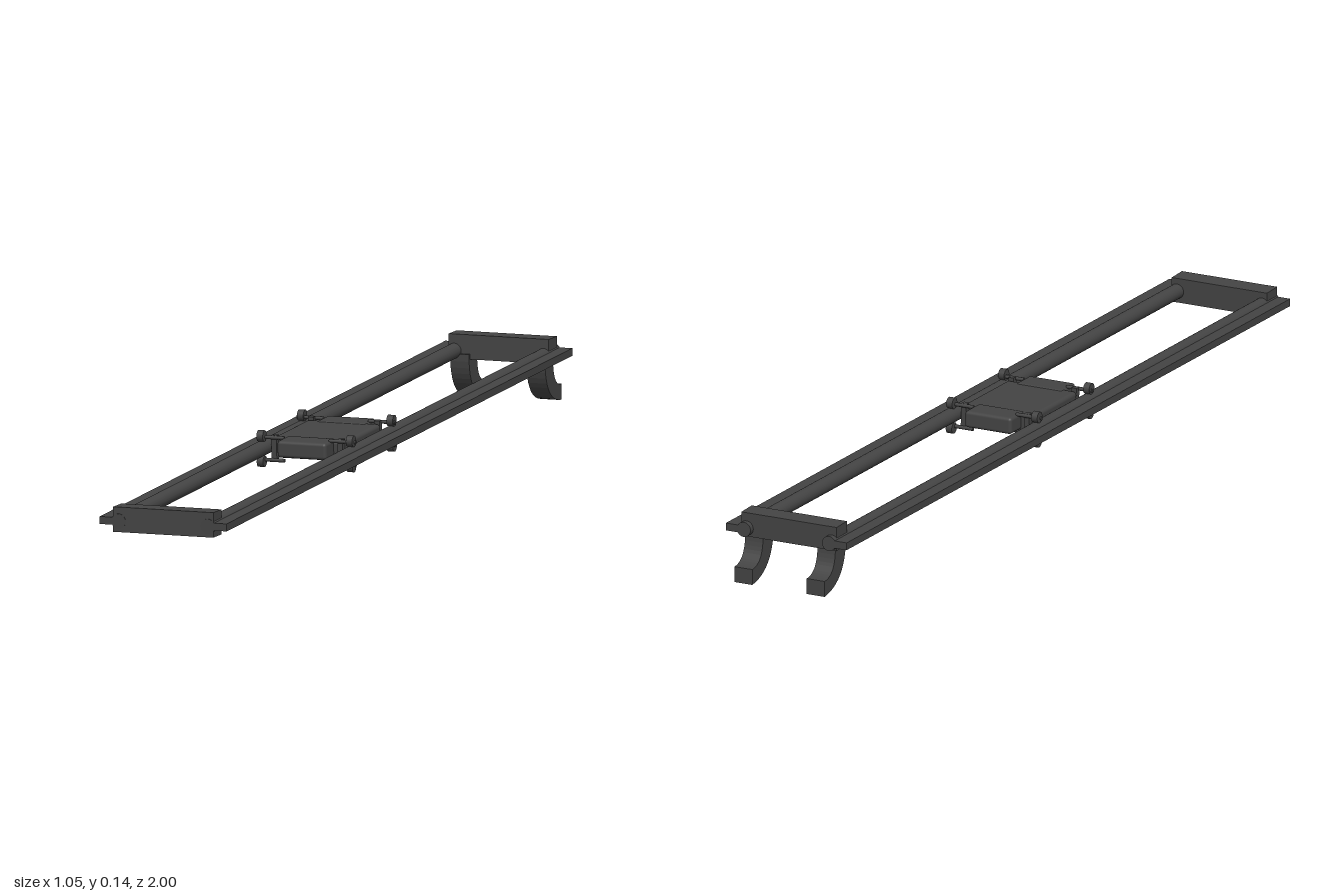
import * as THREE from 'three';
import { RoundedBoxGeometry } from 'three/addons/geometries/RoundedBoxGeometry.js';

const material = new THREE.MeshStandardMaterial({ color: 0x444444 });

function add(parent, name, geometry, x = 0, y = 0, z = 0) {
  const mesh = new THREE.Mesh(geometry, material);
  mesh.name = name;
  mesh.position.set(x, y, z);
  parent.add(mesh);
  return mesh;
}

// Round tube with a flat flange on the side given by s
function railGeometry(s, length) {
  const r = 0.016, t = 0.008, a = Math.asin(t / r);
  const shape = new THREE.Shape();
  shape.moveTo(0.042, -t);
  shape.lineTo(0.042, t);
  shape.lineTo(r * Math.cos(a), t);
  shape.absarc(0, 0, r, a, Math.PI * 2 - a, false);
  shape.closePath();
  const geo = new THREE.ExtrudeGeometry(shape, { depth: length, bevelEnabled: false, curveSegments: 16 });
  geo.translate(0, 0, -length / 2);
  if (s < 0) geo.rotateZ(Math.PI);
  return geo;
}

// Foot curving down and backwards, drawn sideways and extruded across its width
function footGeometry(width) {
  const shape = new THREE.Shape();
  shape.moveTo(-0.048, 0.1);
  shape.lineTo(0, 0.1);
  shape.bezierCurveTo(0, 0.05, 0.02, 0.034, 0.05, 0.034);
  shape.lineTo(0.05, 0);
  shape.bezierCurveTo(-0.01, 0.004, -0.046, 0.035, -0.048, 0.1);
  const geo = new THREE.ExtrudeGeometry(shape, { depth: width, bevelEnabled: false, curveSegments: 12 });
  geo.translate(0, 0, -width / 2);
  geo.rotateY(Math.PI / 2);
  return geo;
}

export function createModel() {
  const model = new THREE.Group();
  model.name = 'sliderRail';
  const body = new THREE.Group();
  body.name = 'slider';
  body.rotation.y = -0.397;
  model.add(body);

  // Sloping frame holding the rails and carriage
  const frame = new THREE.Group();
  frame.name = 'slopingFrame';
  frame.position.y = 0.071;
  frame.rotation.x = 0.036;
  body.add(frame);
  for (const s of [-1, 1]) {
    add(frame, s > 0 ? 'leftRail' : 'rightRail', railGeometry(s, 2.03), s * 0.1, 0, 0);
  }

  // Cross bars at both ends and the feet under the back one
  add(body, 'frontCrossBar', new THREE.BoxGeometry(0.224, 0.053, 0.047), 0, 0.038, 0.99);
  add(body, 'backCrossBar', new THREE.BoxGeometry(0.224, 0.052, 0.047), 0, 0.115, -0.978);
  for (const s of [-1, 1]) {
    add(body, s > 0 ? 'leftFoot' : 'rightFoot', footGeometry(0.042), s * 0.085, 0, -0.995);
  }

  // Carriage with a raised block at each end
  const carriage = new THREE.Group();
  carriage.name = 'carriage';
  carriage.position.z = 0.055;
  frame.add(carriage);
  add(carriage, 'carriagePlate', new RoundedBoxGeometry(0.165, 0.044, 0.205, 3, 0.008));
  const wheel = new THREE.CylinderGeometry(0.012, 0.012, 0.014, 20);
  const axle = new THREE.CylinderGeometry(0.004, 0.004, 0.06, 10);
  wheel.rotateZ(Math.PI / 2);
  axle.rotateZ(Math.PI / 2);
  for (const e of [-1, 1]) {
    add(carriage, 'endBlock', new RoundedBoxGeometry(0.11, 0.036, 0.065, 3, 0.007), 0, 0.006, e * 0.116);
    for (const s of [-1, 1]) {
      add(carriage, 'wheelBracket', new THREE.BoxGeometry(0.012, 0.056, 0.014), s * 0.074, 0, e * 0.108);
      // Wheels gripping the rail from above and below
      for (const v of [-1, 1]) {
        add(carriage, 'wheel', wheel, s * 0.1, v * 0.027, e * 0.119);
        add(carriage, 'wheelAxle', axle, s * 0.08, v * 0.024, e * 0.115);
      }
    }
  }
  return model;
}
